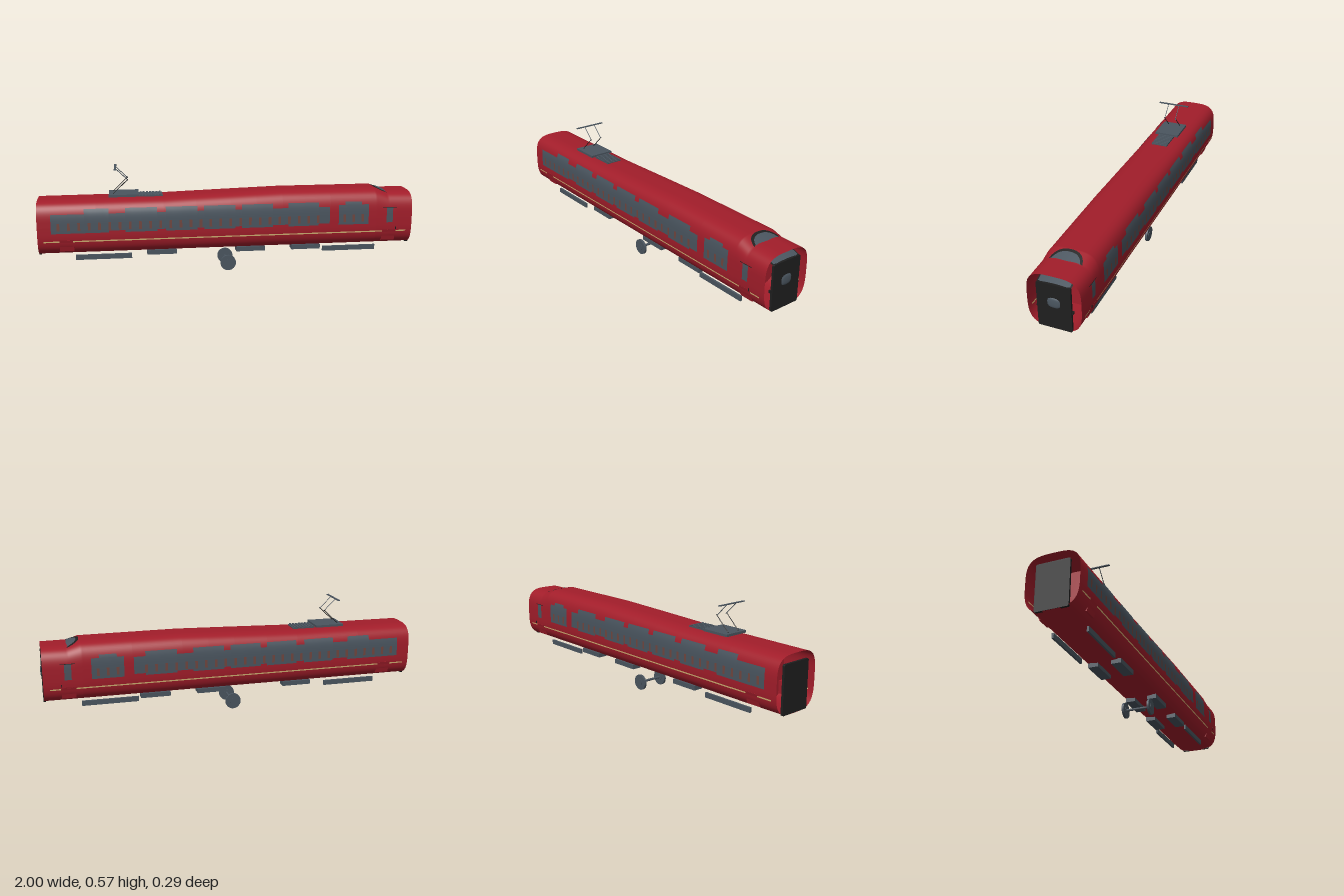
import * as THREE from 'three';

const mat = (name, color) => new THREE.MeshStandardMaterial({ name, color, side: THREE.DoubleSide });
const red = mat('carmine red', 0xa21d2a);
const grey = mat('slate grey', 0x4a555f);
const black = mat('rubber black', 0x1f1f1f);
const cream = mat('cream', 0xd9b676);
const brown = mat('seat brown', 0x70463f);

// Body section: a superellipse whose crown follows the roof line
const N = 3.5, MID = 0.281, HALF_W = 0.135, FLOOR = 0.154;
const roofLine = [[-1, 0.413], [-0.35, 0.416], [0, 0.427], [0.28, 0.435], [0.8, 0.434], [0.857, 0.415], [0.992, 0.414]];
function roof(x) {
  for (let i = 1; i < roofLine.length; i++) {
    const [x0, y0] = roofLine[i - 1], [x1, y1] = roofLine[i];
    if (x <= x1) return y0 + (y1 - y0) * (x - x0) / (x1 - x0);
  }
  return 0.414;
}
const power = v => Math.sign(v) * Math.abs(v) ** (2 / N);
function section(x, t, k = 1) {
  const s = Math.sin(t), h = s > 0 ? roof(x) - MID : FLOOR;
  return [x, MID + k * h * power(s), k * HALF_W * power(Math.cos(t))];
}
function wallZ(x, y) {
  const h = y > MID ? roof(x) - MID : FLOOR;
  return HALF_W * (1 - Math.min(1, Math.abs(y - MID) / h) ** N) ** (1 / N);
}

// Surface from a rule f(u, v) over a grid
function sheet(f, nu, nv) {
  const pos = [], idx = [];
  for (let i = 0; i <= nu; i++) for (let j = 0; j <= nv; j++) pos.push(...f(i / nu, j / nv));
  for (let i = 0; i < nu; i++) for (let j = 0; j < nv; j++) {
    const a = i * (nv + 1) + j, b = a + 1, c = a + nv + 1, d = c + 1;
    idx.push(a, c, b, b, c, d);
  }
  const g = new THREE.BufferGeometry();
  g.setAttribute('position', new THREE.Float32BufferAttribute(pos, 3));
  g.setIndex(idx);
  g.computeVertexNormals();
  return g;
}

export function createModel() {
  const model = new THREE.Group();
  model.name = 'railcar';
  const add = (name, geo, material, x = 0, y = 0, z = 0) => {
    const m = new THREE.Mesh(geo, material);
    m.name = name;
    m.position.set(x, y, z);
    model.add(m);
    return m;
  };
  const box = (name, material, x0, x1, y0, y1, z0, z1) => add(name,
    new THREE.BoxGeometry(x1 - x0, y1 - y0, Math.abs(z1 - z0)), material, (x0 + x1) / 2, (y0 + y1) / 2, (z0 + z1) / 2);
  // Thin patch lying on the side wall
  const patch = (name, material, x0, x1, y0, y1, side, off = 0.002) => add(name, sheet((u, v) => {
    const x = side > 0 ? x0 + (x1 - x0) * u : x1 + (x0 - x1) * u, y = y0 + (y1 - y0) * v;
    return [x, y, side * (wallZ(x, y) + off)];
  }, 4, 10), material);
  const rod = (name, a, b, r, material) => {
    const p = new THREE.Vector3(...a), d = new THREE.Vector3(...b).sub(p);
    const m = add(name, new THREE.CylinderGeometry(r, r, d.length(), 8), material);
    m.position.copy(p).addScaledVector(d, 0.5);
    m.quaternion.setFromUnitVectors(new THREE.Vector3(0, 1, 0), d.normalize());
  };

  // Body shell, open at both ends, with inner bulkheads
  const stations = [-1, -0.7, -0.35, -0.18, 0, 0.14, 0.28, 0.54, 0.79, 0.8, 0.857, 0.87, 0.992];
  const last = stations.length - 1;
  add('bodyShell', sheet((u, v) => section(stations[Math.round(u * last)], v * Math.PI * 2), last, 72), red);
  for (const x of [-0.82, 0.8])
    add('bulkhead', sheet((u, v) => section(x, v * Math.PI * 2 * Math.sign(x), 0.995 * (1 - u)), 1, 48), red);

  // Sloping windscreen with a dark frame
  const screen = (name, material, x0, w, lift) => add(name, sheet((u, v) => {
    const x = x0 + (0.986 - x0) * u * u;
    const k = Math.min(1, (x - x0) / 0.1), z = w * (1 - (1 - k) ** 2.5) ** 0.4 * (1 - 2 * v);
    return [x, 0.434 - 0.337 * (x - 0.8) + lift - 0.9 * z * z, z];
  }, 24, 12), material);
  screen('windscreenFrame', black, 0.799, 0.085, 0.0012);
  screen('windscreen', grey, 0.814, 0.078, 0.0024);

  // End gangway panels
  const door = new THREE.Shape();
  const w = 0.085, y0 = 0.128, y1 = 0.37, r = 0.01;
  door.moveTo(-w + r, y0).lineTo(w - r, y0).quadraticCurveTo(w, y0, w, y0 + r).lineTo(w, y1 - r)
    .quadraticCurveTo(w, y1, w - r, y1).lineTo(-w + r, y1).quadraticCurveTo(-w, y1, -w, y1 - r)
    .lineTo(-w, y0 + r).quadraticCurveTo(-w, y0, -w + r, y0);
  const doorGeo = new THREE.ExtrudeGeometry(door, { depth: 0.012, bevelEnabled: false }).rotateY(Math.PI / 2);
  add('frontGangway', doorGeo, black, 0.982);
  add('rearGangway', doorGeo, black, -1);
  add('gangwayWindow', sheet((u, v) => {
    const t = v * Math.PI * 2, c = Math.cos(t), s = Math.sin(t), k = 1 - u;
    const round = q => Math.sign(q) * Math.abs(q) ** 0.75;
    return [0.995 + 0.005 * Math.sqrt(1 - k * k), 0.272 + 0.027 * k * round(s), -0.032 * k * round(c)];
  }, 6, 32), grey);

  // Slanted step panel profile, across the wall
  const step = new THREE.Shape([[0.1, 0.152], [0.117, 0.152], [0.135, 0.215], [0.1, 0.215]].map(p => new THREE.Vector2(...p)));
  const stepGeo = new THREE.ExtrudeGeometry(step, { depth: 0.073, bevelEnabled: false });

  for (const s of [1, -1]) {
    // Stepped window band
    patch('window', grey, -0.93, -0.76, 0.25, 0.35, s);
    [-0.76, -0.55, -0.34, -0.14, 0.06, 0.31].forEach((x, i, all) => {
      const end = i < 5 ? all[i + 1] : 0.535, high = x + (i ? 0.165 : 0.125);
      patch('window', grey, x, high, 0.25, 0.375, s);
      patch('window', grey, high, end, 0.26, 0.35, s);
    });
    patch('windowBehindCab', grey, 0.585, 0.75, 0.25, 0.358, s);
    patch('windowTop', grey, 0.62, 0.71, 0.358, 0.374, s);

    // Seat backs showing in the windows
    for (let i = 0; i < 27; i++) {
      const x = -0.9 + i * 0.0525;
      patch('seatBack', brown, x, x + 0.014, 0.264, 0.305, s, 0.003);
    }
    for (const x of [0.61, 0.66, 0.71]) patch('seatBack', brown, x, x + 0.014, 0.264, 0.305, s, 0.003);

    // Waist stripe, also showing inside the open ends
    for (const off of [0.002, -0.002])
      for (const [a, b] of [[-0.97, -0.89], [-0.82, 0.83], [0.905, 0.96]])
        patch('waistStripe', cream, a, b, 0.203, 0.21, s, off);

    // Cab door and step panels
    patch('cabDoor', red, 0.83, 0.905, 0.21, 0.345, s, 0.0015);
    patch('cabDoorTrim', black, 0.83, 0.905, 0.336, 0.339, s, 0.0025);
    patch('cabDoorWindow', grey, 0.85, 0.885, 0.255, 0.336, s, 0.003);
    for (const x of [0.83, -0.89]) {
      // The profile turns to face its own side
      const m = add('stepPanel', stepGeo, red, s > 0 ? x + 0.073 : x);
      m.rotation.y = -s * Math.PI / 2;
    }
    box('doorHandle', black, 0.9, 0.904, 0.217, 0.233, s * 0.141, s * 0.143);
    box('gangwayLatch', black, 0.975, 0.988, 0.226, 0.238, s * 0.083, s * 0.091);

    // Underfloor equipment
    for (const x of [-0.813, 0.51]) box('sideBeam', grey, x, x + 0.293, 0.095, 0.121, s * 0.082, s * 0.093);
    for (const x of [-0.44, 0.037, 0.34]) box('equipmentBox', grey, x, x + 0.157, 0.108, 0.132, s * 0.035, s * 0.088);

    // Wheels
    const disc = (name, rad, t) => add(name, new THREE.CylinderGeometry(rad, rad, t, 32).rotateX(Math.PI / 2), grey, -0.005, 0.042, s * 0.0705);
    disc('wheel', 0.042, 0.012);
    disc('wheelHub', 0.018, 0.016);

    // Pantograph arms
    rod('lowerArm', [-0.61, 0.432, s * 0.035], [-0.53, 0.508, s * 0.035], 0.002, black);
    rod('upperArm', [-0.53, 0.503, s * 0.032], [-0.595, 0.567, s * 0.032], 0.002, grey);
  }
  rod('axle', [-0.005, 0.042, -0.07], [-0.005, 0.042, 0.07], 0.007, grey);

  // Pantograph base, cooling slats and contact bow
  box('pantographBase', grey, -0.632, -0.475, 0.42, 0.432, -0.068, 0.068);
  box('slatTray', grey, -0.475, -0.35, 0.408, 0.421, -0.045, 0.045);
  for (let i = 0; i < 7; i++) {
    const x = -0.47 + i * 0.017;
    box('slat', grey, x, x + 0.01, 0.42, 0.425, -0.045, 0.045);
  }
  box('contactBow', grey, -0.601, -0.589, 0.566, 0.57, -0.087, 0.087);
  return model;
}
